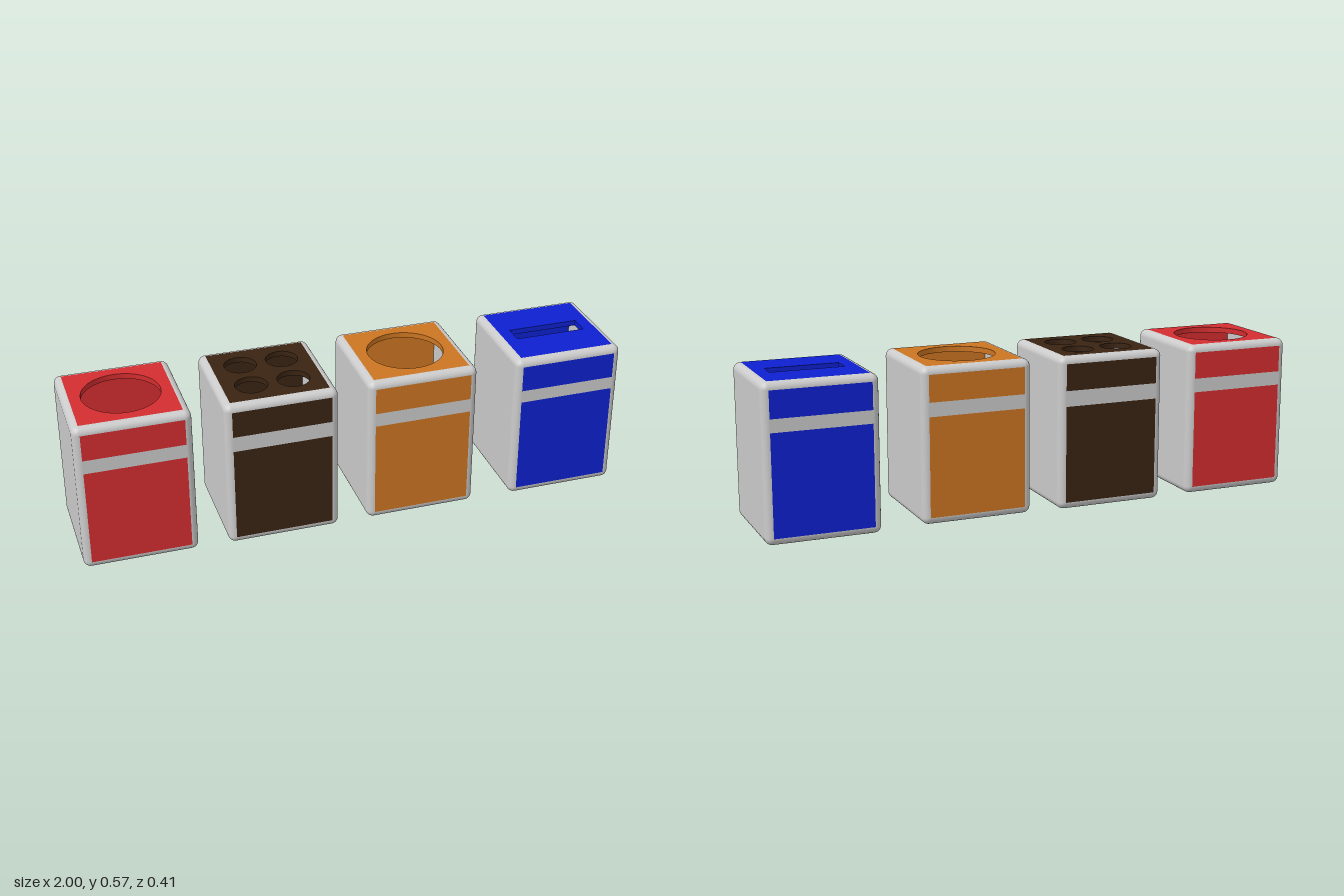
import * as THREE from 'three';
import { RoundedBoxGeometry } from 'three/addons/geometries/RoundedBoxGeometry.js';

const W = 0.408, H = 0.56, R = 0.026, WALL = 0.02;
const FLAT = W - 2 * R; // width of the flat part of a face
const grey = new THREE.MeshStandardMaterial({ color: 0xcccccc });

function add(parent, name, geometry, material, x = 0, y = 0, z = 0) {
  const mesh = new THREE.Mesh(geometry, material);
  mesh.name = name;
  mesh.position.set(x, y, z);
  parent.add(mesh);
  return mesh;
}

// Rounded box without its flat top, front and back, which get their own panels
function shellGeometry() {
  const box = new RoundedBoxGeometry(W, H, W, 4, R);
  const src = box.index ? box.toNonIndexed() : box;
  const p = src.attributes.position, n = src.attributes.normal;
  const pos = [], nor = [];
  for (let i = 0; i < p.count; i += 3) {
    const ids = [i, i + 1, i + 2];
    const open = ids.every(k => n.getY(k) > 0.999) ||
      ids.every(k => n.getZ(k) > 0.999) || ids.every(k => n.getZ(k) < -0.999);
    if (open) continue;
    for (const k of ids) {
      pos.push(p.getX(k), p.getY(k), p.getZ(k));
      nor.push(n.getX(k), n.getY(k), n.getZ(k));
    }
  }
  const g = new THREE.BufferGeometry();
  g.setAttribute('position', new THREE.Float32BufferAttribute(pos, 3));
  g.setAttribute('normal', new THREE.Float32BufferAttribute(nor, 3));
  return g;
}

// Square lid plate pierced by the given holes, top face at y = 0
function lidGeometry(holes) {
  const h = FLAT / 2;
  const shape = new THREE.Shape([[-h, -h], [h, -h], [h, h], [-h, h]].map(c => new THREE.Vector2(...c)));
  shape.holes.push(...holes);
  return new THREE.ExtrudeGeometry(shape, { depth: WALL, bevelEnabled: false, curveSegments: 32 })
    .rotateX(-Math.PI / 2).translate(0, -WALL, 0);
}

const roundHole = (x, y, r) => new THREE.Path().absarc(x, y, r, 0, Math.PI * 2, true);

function slotHole(w, d) {
  return new THREE.Path([[-w, -d], [-w, d], [w, d], [w, -d]].map(([x, y]) => new THREE.Vector2(x / 2, y / 2)));
}

function makeBin(name, color, holes, bandLow, bandHigh) {
  const bin = new THREE.Group();
  bin.name = name;
  const paint = new THREE.MeshStandardMaterial({ color });
  add(bin, 'shell', shellGeometry(), grey, 0, H / 2, 0);
  add(bin, 'lid', lidGeometry(holes), paint, 0, H, 0);

  // Front and back: coloured body panel, grey band, coloured upper panel
  const strips = [
    ['bodyPanel', R, bandLow, paint],
    ['band', bandLow, bandHigh, grey],
    ['upperPanel', bandHigh, H - R, paint],
  ];
  for (const s of [1, -1]) {
    for (const [part, y0, y1, material] of strips) {
      const panel = add(bin, (s > 0 ? 'front ' : 'back ') + part,
        new THREE.PlaneGeometry(FLAT, y1 - y0), material, 0, (y0 + y1) / 2, s * W / 2);
      if (s < 0) panel.rotation.y = Math.PI;
    }
  }

  // Inner walls and floor seen through the openings
  const inner = W - 2 * WALL, tall = H - 2 * WALL;
  for (let i = 0; i < 4; i++) {
    const a = i * Math.PI / 2;
    const wall = add(bin, 'innerWall', new THREE.PlaneGeometry(inner, tall), i % 2 ? grey : paint,
      -Math.sin(a) * inner / 2, H / 2, -Math.cos(a) * inner / 2);
    wall.rotation.y = a;
  }
  add(bin, 'innerFloor', new THREE.PlaneGeometry(inner, inner).rotateX(-Math.PI / 2), grey, 0, WALL, 0);
  return bin;
}

export function createModel() {
  const model = new THREE.Group();
  model.name = 'recyclingBins';
  const four = [];
  for (const x of [-0.076, 0.076]) for (const y of [-0.076, 0.076]) four.push(roundHole(x, y, 0.058));

  const red = makeBin('redBin', 0xd32d2f, [roundHole(0, 0, 0.138)], 0.386, 0.437);
  red.position.set(-0.796, 0.006, 0.001);
  const brown = makeBin('brownBin', 0x3a2413, four, 0.38, 0.437);
  brown.position.set(-0.278, 0.003, 0.001);
  const orange = makeBin('orangeBin', 0xcc7522, [roundHole(0, 0, 0.138)], 0.386, 0.437);
  orange.position.set(0.238, 0.006, 0.002);
  const blue = makeBin('blueBin', 0x0d20d0, [slotHole(0.264, 0.072)], 0.39, 0.437);
  blue.position.set(0.796, 0, -0.003);
  model.add(red, brown, orange, blue);
  return model;
}
